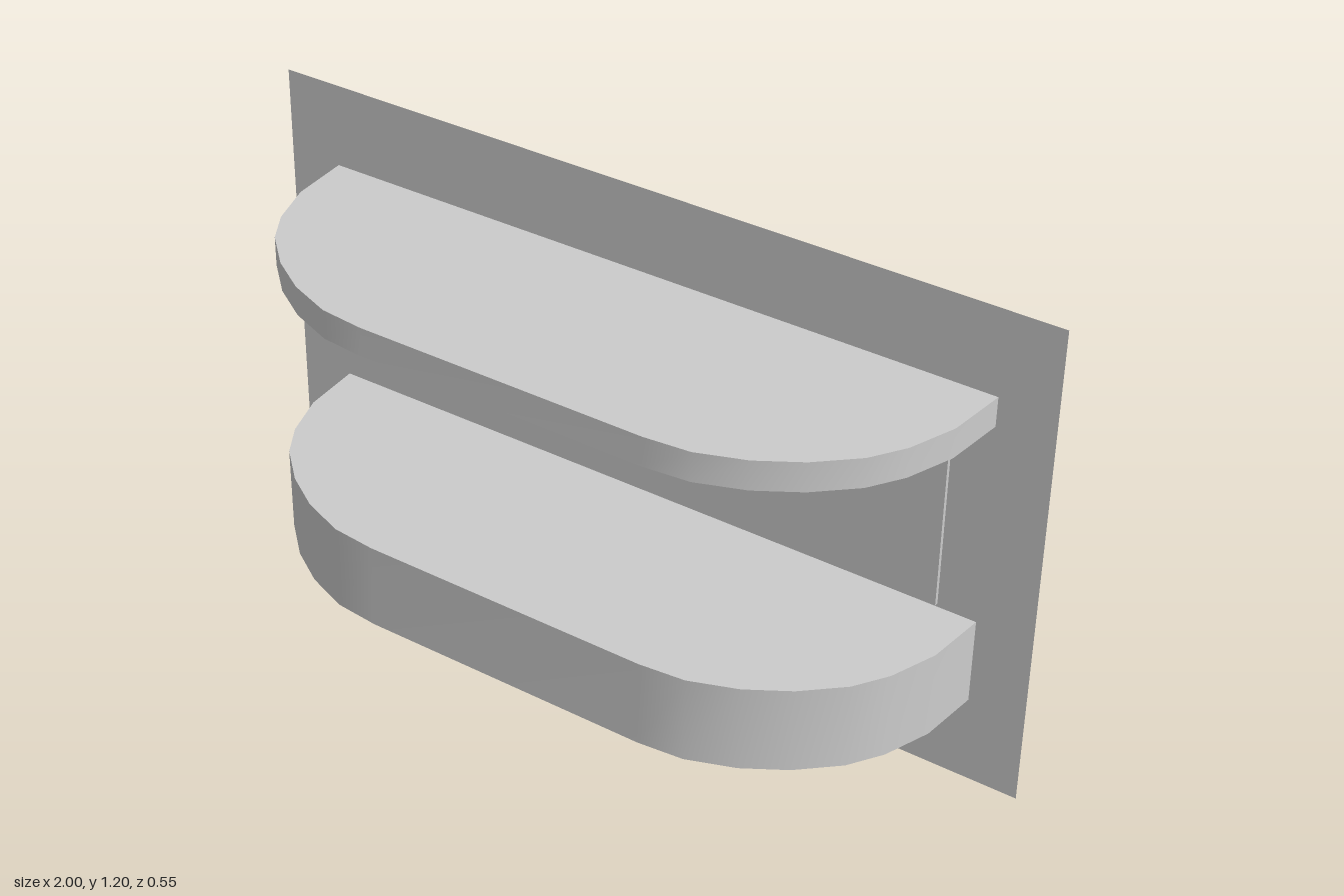
import * as THREE from 'three';

const WALL_Z = -0.267;
const HALF = 0.863;
const grey = new THREE.MeshStandardMaterial({ color: 0xcccccc, side: THREE.DoubleSide });

// Half outline of a balcony in plan (x, z), from the wall to the flat front
const corner = [
  [HALF, WALL_Z], [0.85, -0.115], [0.81, 0], [0.76, 0.08],
  [0.675, 0.16], [0.58, 0.22], [0.47, 0.262], [0.36, 0.273],
];
const outline = [...corner, ...corner.map(([x, z]) => [-x, z]).reverse()];

function addMesh(parent, name, geometry) {
  const mesh = new THREE.Mesh(geometry, grey);
  mesh.name = name;
  parent.add(mesh);
  return mesh;
}

// Smooth curved band following the outline, left open at the wall
function bandGeometry(y0, y1) {
  const pos = [], index = [];
  outline.forEach(([x, z], i) => {
    pos.push(x, y0, z, x, y1, z);
    if (i > 0) {
      const a = 2 * (i - 1);
      index.push(a, a + 1, a + 2, a + 1, a + 3, a + 2);
    }
  });
  const g = new THREE.BufferGeometry();
  g.setAttribute('position', new THREE.Float32BufferAttribute(pos, 3));
  g.setIndex(index);
  g.computeVertexNormals();
  return g;
}

// Flat cap; up = 1 faces upward, -1 downward
function capGeometry(y, up) {
  const shape = new THREE.Shape(outline.map(([x, z]) => new THREE.Vector2(x, -up * z)));
  return new THREE.ShapeGeometry(shape).rotateX(-up * Math.PI / 2).translate(0, y, 0);
}

// Hollow bowed shell: front band, top and underside
function balcony(name, y0, y1) {
  const g = new THREE.Group();
  g.name = name;
  addMesh(g, name + 'Front', bandGeometry(y0, y1));
  addMesh(g, name + 'Top', capGeometry(y1, 1));
  addMesh(g, name + 'Underside', capGeometry(y0, -1));
  return g;
}

function rectPoints(w, y0, y1) {
  return [[-w, y0], [w, y0], [w, y1], [-w, y1]].map(([x, y]) => new THREE.Vector2(x, y));
}

export function createModel() {
  const model = new THREE.Group();
  model.name = 'balconyWall';
  const levels = { lowerBalcony: [0.213, 0.424], upperCanopy: [0.921, 0.992] };

  // Thin wall sheet, cut open behind each shell
  const wall = new THREE.Shape(rectPoints(1, 0, 1.197));
  for (const [name, [y0, y1]] of Object.entries(levels)) {
    wall.holes.push(new THREE.Path(rectPoints(HALF, y0, y1)));
    model.add(balcony(name, y0, y1));
  }
  addMesh(model, 'wall', new THREE.ShapeGeometry(wall).translate(0, 0, WALL_Z));

  // Window panel standing slightly proud of both wall faces
  addMesh(model, 'windowPanel', new THREE.BoxGeometry(1.536, 0.472, 0.016))
    .position.set(0, 0.669, -0.265);

  return model;
}
